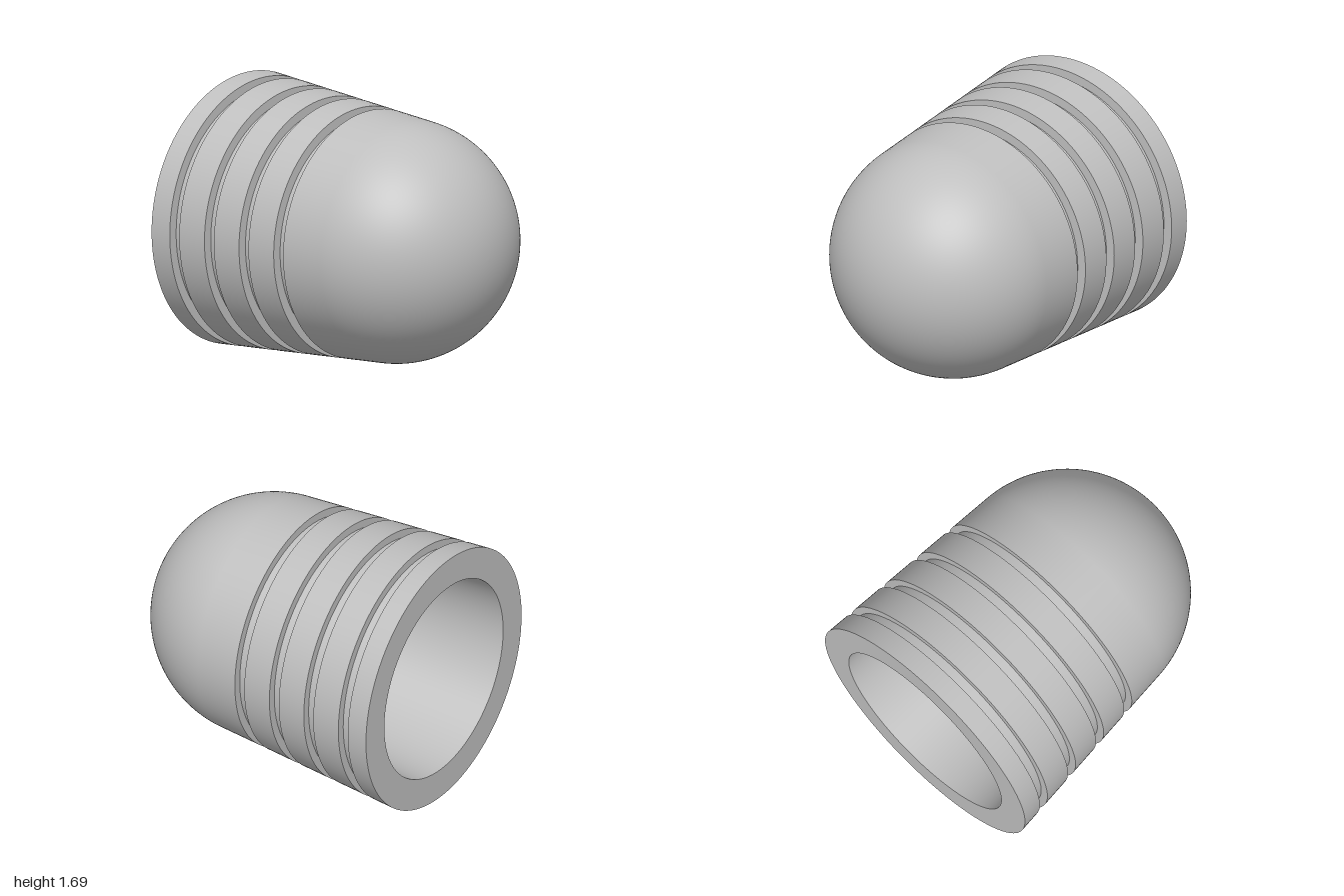
import * as THREE from 'three';

const R0 = 0.845, TAPER = 0.072;        // rear radius and slope of the outer cone
const DOME_X = 0.246, WALL = 0.2;       // dome centre along the axis, wall thickness
const DOME_R = 1 - DOME_X;
const SEGMENTS = 128;

const outerRadius = (x) => R0 - TAPER * (x + 1);

// quarter circle from the tangent ring to the tip, as [radius, x] pairs
function domeArc(radius, steps) {
  const points = [];
  for (let i = 0; i <= steps; i++) {
    const a = TAPER + (Math.PI / 2 - TAPER) * (i / steps);
    points.push([i === steps ? 0 : radius * Math.cos(a), DOME_X + radius * Math.sin(a)]);
  }
  return points;
}

export function createModel() {
  const model = new THREE.Group();
  model.name = 'groovedCap';
  const grey = new THREE.MeshStandardMaterial({ color: 0xbfbfbf });
  grey.name = 'plainGrey';

  const body = new THREE.Group();
  body.name = 'body';
  body.rotation.z = -Math.PI / 2;       // lathe axis to +x
  body.position.y = R0;
  model.add(body);

  // each smooth stretch of the profile is its own lathe, so edges stay sharp
  function addLathe(name, pairs) {
    const points = pairs.map(([r, x]) => new THREE.Vector2(r, x));
    const mesh = new THREE.Mesh(new THREE.LatheGeometry(points, SEGMENTS), grey);
    mesh.name = name;
    body.add(mesh);
  }

  // tapered bands separated by square grooves
  let start = -1;
  const grooves = [[-0.86, 0.777], [-0.593, 0.758], [-0.327, 0.738], [-0.06, 0.719]];
  grooves.forEach(([x, floor], i) => {
    const end = x + 0.073;
    addLathe('band' + (i + 1), [[outerRadius(start), start], [outerRadius(x), x]]);
    addLathe('grooveRearWall' + (i + 1), [[outerRadius(x), x], [floor, x]]);
    addLathe('grooveFloor' + (i + 1), [[floor, x], [floor, end]]);
    addLathe('grooveFrontWall' + (i + 1), [[floor, end], [outerRadius(end), end]]);
    start = end;
  });

  // rounded nose blending out of the cone
  addLathe('nose', [[outerRadius(start), start], ...domeArc(DOME_R, 40)]);

  // open rear rim and the hollow inside
  addLathe('rearRim', [[R0 - WALL, -1], [R0, -1]]);
  addLathe('hollow', [[R0 - WALL, -1], ...domeArc(DOME_R - WALL, 32)].reverse());

  return model;
}
